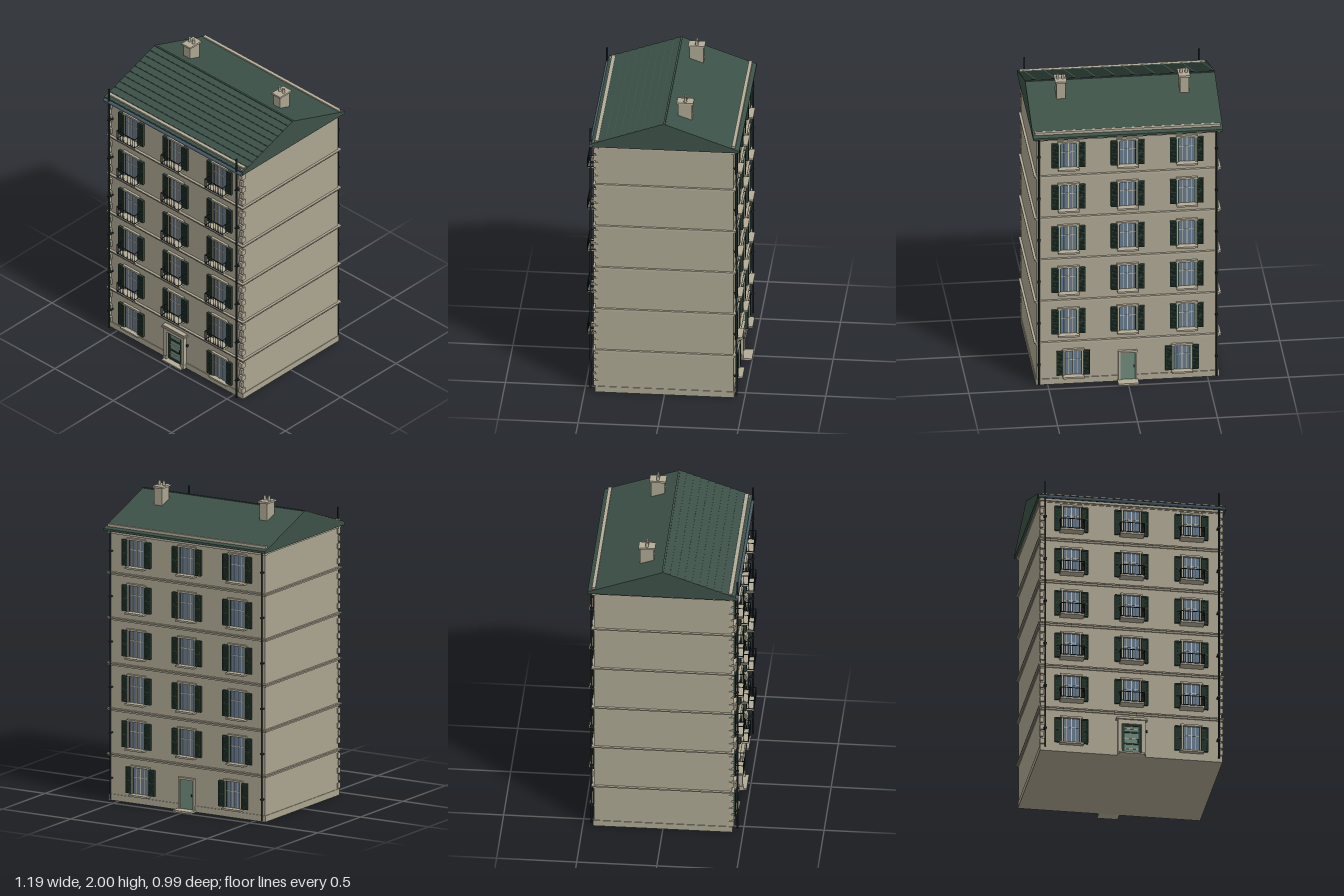
import * as THREE from 'three';

const mat = (name, color) => {
  const m = new THREE.MeshStandardMaterial({ color });
  m.name = name;
  return m;
};
const M = {
  wall: mat('stone wall', 0xaca691),
  trim: mat('pale trim', 0xb3ac98),
  roof: mat('roof green', 0x3c5147),
  slate: mat('gutter slate', 0x4b5d68),
  iron: mat('dark iron', 0x222b2b),
  shutter: mat('shutter green', 0x293d33),
  glass: mat('window glass', 0x66788a),
  bars: mat('window bars', 0xcbc4b2),
  door: mat('door glass', 0x6d897b),
};
const FZ = 0.43, HX = 0.57, FLOOR = 0.29;

function add(parent, name, geo, m, x = 0, y = 0, z = 0) {
  const mesh = new THREE.Mesh(geo, m);
  mesh.name = name;
  mesh.position.set(x, y, z);
  parent.add(mesh);
  return mesh;
}
// Box given by its limits on each axis
const box = (p, name, m, x0, x1, y0, y1, z0, z1) =>
  add(p, name, new THREE.BoxGeometry(x1 - x0, y1 - y0, z1 - z0), m, (x0 + x1) / 2, (y0 + y1) / 2, (z0 + z1) / 2);
const rod = (p, name, m, r, x, y0, y1, z, sides = 10) =>
  add(p, name, new THREE.CylinderGeometry(r, r, y1 - y0, sides), m, x, (y0 + y1) / 2, z);
function group(parent, name) {
  const g = new THREE.Group();
  g.name = name;
  parent.add(g);
  return g;
}

// Louvred shutter, wall plane at z = 0
function shutter(p, x) {
  const g = group(p, 'shutter'), w = 0.021;
  box(g, 'shutterPanel', M.shutter, x - w + 0.003, x + w - 0.003, -0.078, 0.078, 0, 0.009);
  for (const s of [-1, 1]) box(g, 'shutterStile', M.shutter, x + s * 0.019 - 0.003, x + s * 0.019 + 0.003, -0.082, 0.082, 0, 0.016);
  for (const y of [-0.079, 0, 0.079]) box(g, 'shutterRail', M.shutter, x - w, x + w, y - 0.004, y + 0.004, 0, 0.016);
  for (let i = 0; i < 12; i++) {
    const y = -0.066 + i * 0.012;
    const slat = box(g, 'shutterSlat', M.shutter, x - 0.017, x + 0.017, y - 0.0045, y + 0.0045, 0.009, 0.012);
    slat.rotation.x = 0.4;
  }
}

// Window with frame, glazing bars, lintel, sill and two shutters
function windowUnit(p, sillHalf, sillDepth) {
  const g = group(p, 'window');
  box(g, 'glass', M.glass, -0.056, 0.056, -0.082, 0.082, 0, 0.004);
  for (const s of [-1, 1]) {
    box(g, 'frameSide', M.trim, s * 0.058 - 0.004, s * 0.058 + 0.004, -0.085, 0.085, 0, 0.012);
    box(g, 'sashBar', M.bars, s * 0.028 - 0.0015, s * 0.028 + 0.0015, -0.082, 0.082, 0, 0.007);
    box(g, 'sashEdge', M.shutter, s * 0.051 - 0.003, s * 0.051 + 0.003, -0.082, 0.082, 0, 0.008);
    shutter(g, s * 0.083);
  }
  box(g, 'middleBar', M.bars, -0.003, 0.003, -0.082, 0.082, 0, 0.008);
  box(g, 'crossBar', M.bars, -0.05, 0.05, 0.02, 0.024, 0, 0.007);
  box(g, 'lintel', M.trim, -0.068, 0.068, 0.084, 0.096, 0, 0.016);
  box(g, 'sill', M.trim, -sillHalf, sillHalf, -0.096, -0.085, 0, sillDepth);
  return g;
}

// Small iron balcony rail in front of a window
function balcony(p) {
  const g = group(p, 'balcony'), w = 0.074, d = 0.063;
  for (const y of [-0.082, -0.02]) {
    box(g, 'frontRail', M.iron, -w, w, y - 0.002, y + 0.002, d - 0.004, d);
    for (const s of [-1, 1]) box(g, 'sideRail', M.iron, s * w - 0.002, s * w + 0.002, y - 0.002, y + 0.002, 0, d);
  }
  for (let i = 0; i <= 10; i++) rod(g, 'baluster', M.iron, i % 10 ? 0.0014 : 0.0025, -w + i * w / 5, -0.085, -0.02, d - 0.002, 6);
  for (const s of [-1, 1]) rod(g, 'sideBaluster', M.iron, 0.0014, s * w, -0.085, -0.02, 0.03, 6);
}

function entrance(p) {
  const g = group(p, 'frontDoor');
  box(g, 'doorstep', M.trim, -0.08, 0.08, 0, 0.01, 0, 0.05);
  for (const s of [-1, 1]) {
    box(g, 'pilaster', M.trim, s * 0.074 - 0.012, s * 0.074 + 0.012, 0, 0.235, 0, 0.025);
    box(g, 'pilasterBase', M.trim, s * 0.074 - 0.014, s * 0.074 + 0.014, 0, 0.03, 0, 0.029);
    box(g, 'doorStile', M.shutter, s * 0.052 - 0.008, s * 0.052 + 0.008, 0.01, 0.212, 0, 0.012);
  }
  box(g, 'doorLintel', M.trim, -0.086, 0.086, 0.212, 0.24, 0, 0.025);
  box(g, 'doorCornice', M.trim, -0.098, 0.098, 0.24, 0.25, 0, 0.036);
  box(g, 'doorCorniceTop', M.trim, -0.093, 0.093, 0.25, 0.258, 0, 0.03);
  box(g, 'doorGlass', M.door, -0.045, 0.045, 0.01, 0.212, 0, 0.006);
  for (const [y, h] of [[0.016, 0.007], [0.083, 0.004], [0.162, 0.005], [0.207, 0.005]])
    box(g, 'doorRail', M.shutter, -0.046, 0.046, y - h, y + h, 0, 0.012);
  for (const y of [0.05, 0.12]) box(g, 'doorBar', M.bars, -0.044, 0.044, y - 0.002, y + 0.002, 0, 0.009);
  box(g, 'transomBar', M.bars, -0.044, 0.044, 0.184, 0.187, 0, 0.009);
  rod(g, 'doorHandle', M.iron, 0.003, 0.04, 0.09, 0.115, 0.014, 8);
  box(g, 'doorbell', M.iron, 0.094, 0.102, 0.168, 0.184, 0, 0.01);
}

function backDoor(p) {
  const g = group(p, 'backDoor');
  box(g, 'doorstep', M.trim, -0.065, 0.065, 0, 0.012, 0, 0.07);
  box(g, 'doorLeaf', M.door, -0.048, 0.048, 0.012, 0.2, 0, 0.008);
  for (const s of [-1, 1]) box(g, 'doorJamb', M.trim, s * 0.053 - 0.006, s * 0.053 + 0.006, 0.012, 0.212, 0, 0.016);
  box(g, 'doorHead', M.trim, -0.059, 0.059, 0.2, 0.213, 0, 0.018);
  rod(g, 'doorHandle', M.iron, 0.003, 0.038, 0.095, 0.11, 0.011, 8);
}

// Roof prism: tiled courses on the front slope, plain slope behind
function roof(p) {
  const g = group(p, 'roof'), top = 1.905, eave = 1.745, dz = 0.0455, dy = (top - eave) / 10, lip = 0.004;
  const s = new THREE.Shape();
  s.moveTo(-0.468, 1.724);
  s.lineTo(0.455, 1.724);
  for (let k = 10; k >= 1; k--) {
    const z = k * dz, y = top - k * dy;
    s.lineTo(z, y);
    s.lineTo(z, y + lip);
    s.lineTo(z - dz, y + dy);
    box(g, 'courseEdge', M.slate, -0.593, 0.593, y, y + lip - 0.001, z - 0.001, z + 0.001);
  }
  s.lineTo(-0.468, 1.738);
  s.closePath();
  const geo = new THREE.ExtrudeGeometry(s, { depth: 1.186, bevelEnabled: false });
  geo.rotateY(-Math.PI / 2).translate(0.593, 0, 0);
  add(g, 'roofBody', geo, M.roof);
  box(g, 'ridge', M.roof, -0.593, 0.593, 1.9, 1.908, -0.006, 0.006);
  for (const z of [-0.431, 0.424]) box(g, 'eavesStrip', M.trim, -0.58, 0.58, 1.705, 1.764, z - 0.011, z + 0.011);
  box(g, 'soffitMoulding', M.trim, -0.578, 0.578, 1.71, 1.724, -0.445, 0.445);
  const gutter = add(g, 'gutter', new THREE.CylinderGeometry(0.011, 0.011, 1.18, 10), M.slate, 0, 1.73, 0.46);
  gutter.rotation.z = Math.PI / 2;
}

function chimney(p, x) {
  const g = group(p, 'chimney'), z = -0.114;
  box(g, 'chimneyStack', M.wall, x - 0.028, x + 0.028, 1.82, 1.96, z - 0.043, z + 0.043);
  box(g, 'chimneyCap', M.trim, x - 0.036, x + 0.036, 1.958, 1.97, z - 0.052, z + 0.052);
  for (const s of [-1, 1])
    add(g, 'chimneyPot', new THREE.CylinderGeometry(0.008, 0.01, 0.032, 12), M.trim, x + s * 0.016, 1.984, z);
}

export function createModel() {
  const root = new THREE.Group();
  root.name = 'apartmentHouse';

  // Walls, plinth and floor bands
  box(root, 'walls', M.wall, -HX, HX, 0, 1.726, -FZ, FZ);
  box(root, 'plinth', M.wall, -0.574, 0.574, 0, 0.04, -0.435, 0.435);
  for (let i = 1; i <= 5; i++) {
    const y = i * FLOOR;
    box(root, 'floorBand', M.trim, -0.577, 0.577, y - 0.008, y + 0.002, -0.438, 0.438);
    box(root, 'floorBandTop', M.trim, -0.585, 0.585, y + 0.002, y + 0.01, -0.446, 0.446);
  }

  // Facades: local z = 0 is the wall plane
  const front = group(root, 'frontFacade');
  front.position.z = FZ;
  const back = group(root, 'backFacade');
  back.position.z = -FZ;
  back.rotation.y = Math.PI;
  for (let i = 0; i < 6; i++) {
    for (const c of [-1, 0, 1]) {
      if (i === 0 && c === 0) continue;
      const y = 0.146 + i * FLOOR;
      const f = windowUnit(front, 0.075, i ? 0.06 : 0.03);
      f.position.set(c * 0.378, y, 0);
      if (i) balcony(f);
      windowUnit(back, 0.066, 0.043).position.set(c * (i ? 0.37 : 0.34), y, 0);
    }
  }
  entrance(front);
  backDoor(back);

  // Corner stones and rain pipes
  for (const s of [-1, 1]) {
    for (let i = 0; i < 36; i++) {
      const w = i % 2 ? 0.02 : 0.03;
      if (i % 6 !== 5 || i === 35)
        box(root, 'cornerStone', M.trim, s * 0.576 - (s > 0 ? w : 0), s * 0.576 + (s < 0 ? w : 0),
          0.045 + i * 0.0478, 0.08 + i * 0.0478, 0.444 - w, 0.444);
    }
    rod(root, 'frontPipe', M.iron, 0.006, s * 0.547, 0.015, 1.83, 0.463);
    rod(root, 'backPipe', M.iron, 0.006, s * 0.555, 0.01, 1.73, -0.447);
    for (let i = 0; i < 6; i++) {
      const y = 0.14 + i * FLOOR;
      box(root, 'pipeBracket', M.iron, s * 0.547 - 0.009, s * 0.547 + 0.009, y, y + 0.008, FZ, 0.471);
      box(root, 'pipeBracket', M.iron, s * 0.555 - 0.009, s * 0.555 + 0.009, y, y + 0.008, -0.455, -FZ);
    }
    chimney(root, s * 0.386);
  }
  roof(root);
  return root;
}
